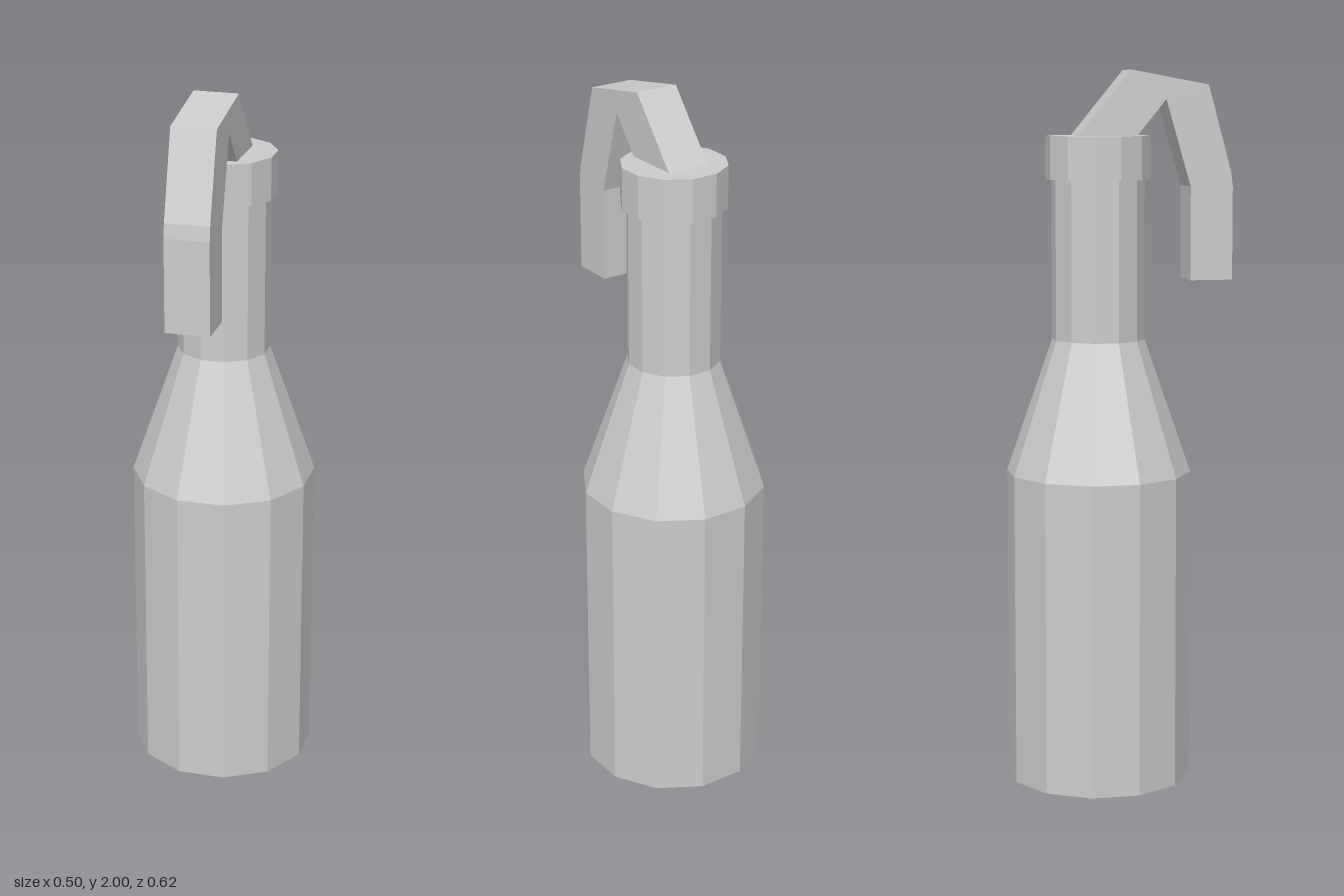
import * as THREE from 'three';

const SIDES = 12;
const AXIS_Z = -0.06;

export function createModel() {
  const model = new THREE.Group();
  model.name = 'bottleWithHook';
  const grey = new THREE.MeshStandardMaterial({ color: 0xcccccc, flatShading: true });
  grey.name = 'light grey';

  const addPart = (name, geometry) => {
    const mesh = new THREE.Mesh(geometry, grey);
    mesh.name = name;
    model.add(mesh);
    return mesh;
  };

  // Twelve-sided turned part with flats facing the front and sides
  const addTurned = (name, profile) => {
    const points = profile.map(([r, y]) => new THREE.Vector2(r, y));
    const geometry = new THREE.LatheGeometry(points, SIDES, Math.PI / SIDES);
    addPart(name, geometry).position.z = AXIS_Z;
  };

  // Body, sloping shoulder and neck
  addTurned('bottle', [[0, 0], [0.26, 0], [0.26, 0.88], [0.13, 1.255], [0.13, 1.71]]);

  // Collar around the mouth, closed above and below
  addTurned('collar', [[0, 1.7], [0.146, 1.7], [0.146, 1.82], [0, 1.82]]);

  // Bent spout: side outline as (z, y), extruded across x
  const outline = [
    [-0.13, 1.815], [0.035, 1.815], [0.12, 1.92], [0.19, 1.68], [0.19, 1.42],
    [0.31, 1.42], [0.31, 1.68], [0.305, 1.72], [0.24, 1.96], [0.022, 2.0],
  ];
  const width = 0.124;
  const shape = new THREE.Shape(outline.map(([z, y]) => new THREE.Vector2(z, y)));
  const hook = new THREE.ExtrudeGeometry(shape, { depth: width, bevelEnabled: false });
  hook.translate(0, 0, -width / 2).rotateY(-Math.PI / 2);
  addPart('hook', hook);

  return model;
}
